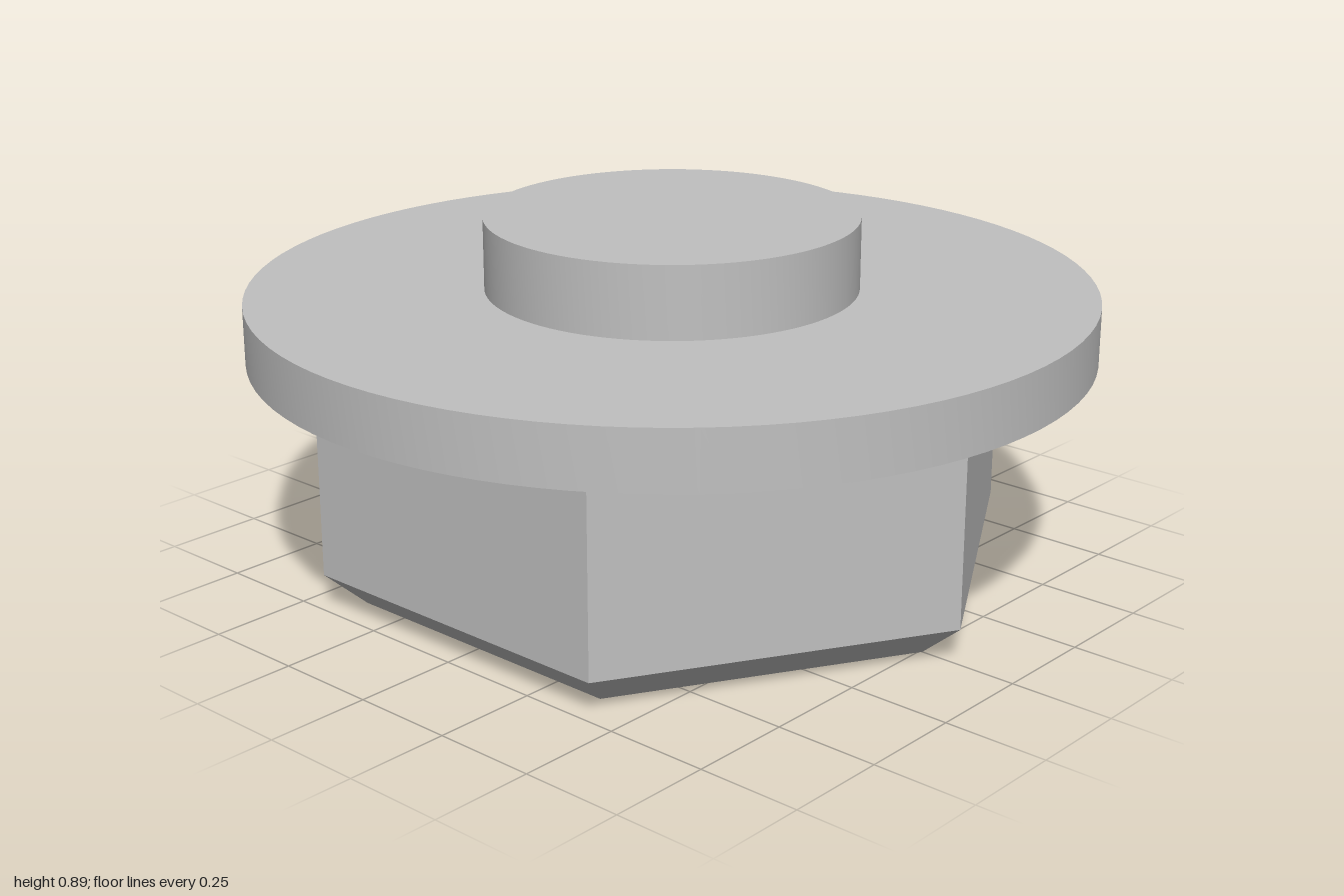
import * as THREE from 'three';
import { toCreasedNormals } from 'three/addons/utils/BufferGeometryUtils.js';

const HEX_RADIUS = 0.857, BASE_RADIUS = 0.757;
const CHAMFER_TOP = 0.085, FLANGE_BOTTOM = 0.575, FLANGE_TOP = 0.715, BOSS_TOP = 0.887;

export function createModel() {
  const group = new THREE.Group();
  const steel = new THREE.MeshStandardMaterial({ color: 0xc0c0c0 });
  steel.name = 'grey steel';

  const add = (name, geometry) => {
    const mesh = new THREE.Mesh(geometry, steel);
    mesh.name = name;
    group.add(mesh);
    return mesh;
  };

  // Open six-sided band with corners on the x axis
  const hexBand = (name, topRadius, bottomRadius, y0, y1) => {
    const geometry = new THREE.CylinderGeometry(topRadius, bottomRadius, y1 - y0, 6, 1, true, Math.PI / 6);
    geometry.translate(0, (y0 + y1) / 2, 0);
    add(name, toCreasedNormals(geometry, 0.3));
  };

  // Hexagonal head: straight sides, chamfer and flat bottom
  hexBand('hexSides', HEX_RADIUS, HEX_RADIUS, CHAMFER_TOP, FLANGE_BOTTOM);
  hexBand('hexChamfer', HEX_RADIUS, BASE_RADIUS, 0, CHAMFER_TOP);
  add('hexBottom', new THREE.CircleGeometry(BASE_RADIUS, 6).rotateX(Math.PI / 2));

  // Round flange with a raised boss, turned as one profile
  const profile = [
    [0.74, FLANGE_BOTTOM], [1, FLANGE_BOTTOM], [1, FLANGE_TOP],
    [0.442, FLANGE_TOP], [0.442, BOSS_TOP], [0, BOSS_TOP],
  ].map(([r, y]) => new THREE.Vector2(r, y));
  add('flangeAndBoss', toCreasedNormals(new THREE.LatheGeometry(profile, 96), 0.5));

  return group;
}
